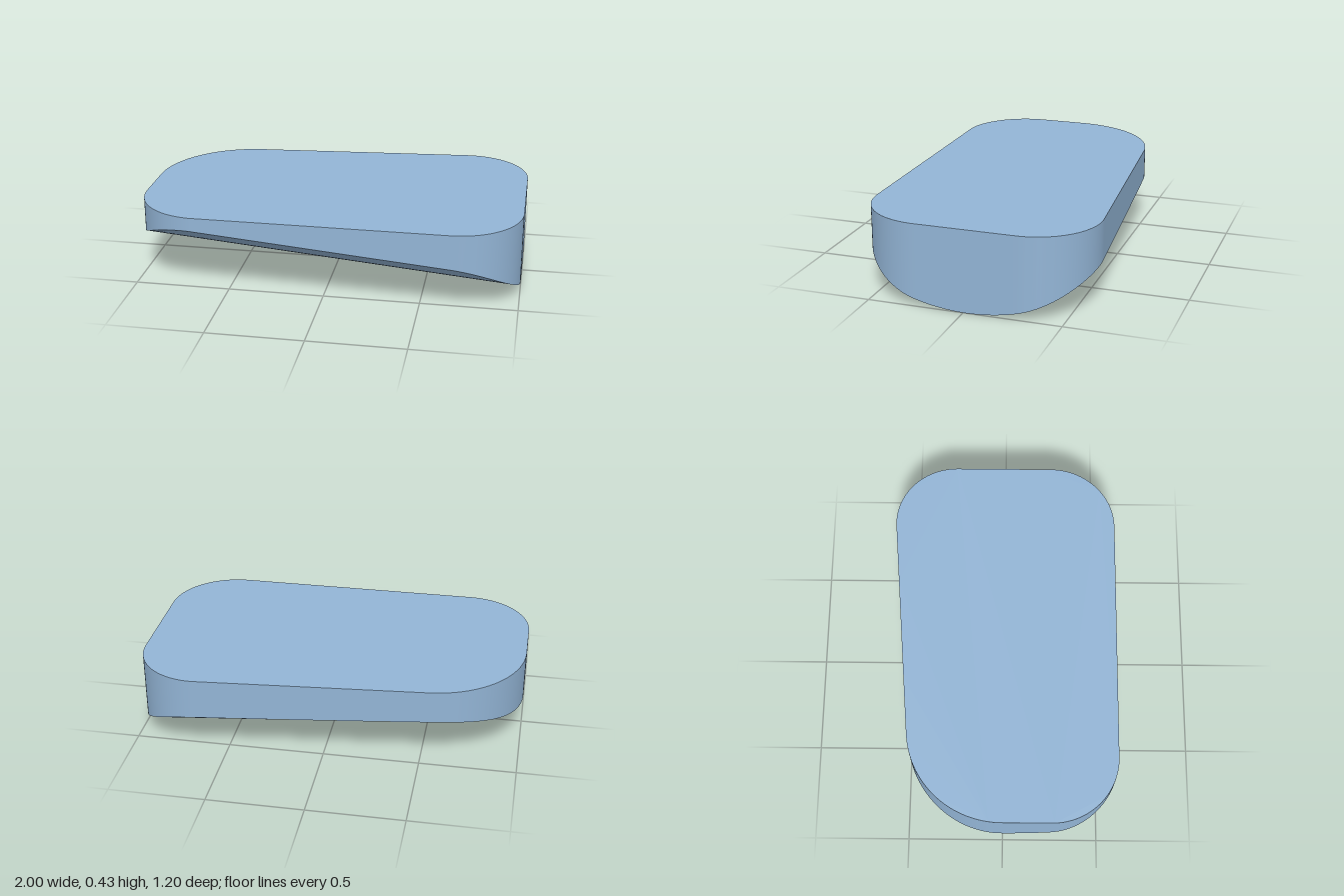
import * as THREE from 'three';

const TOP = 0.427;
const SEGMENTS = 220;
const RINGS = 24;

// Underside: a unit-radius cylinder lying along x, sloping down towards +x
function undersideY(x, z) {
  const dz = z + 0.02;
  return 0.0845 * (1 - x) + 1 - Math.sqrt(1 - dz * dz);
}

// Rounded plan outline, drawn with y = -z
function makeOutline() {
  const lean = Math.PI / 2 + 0.08; // the back edge is slightly slanted
  const s = new THREE.Shape();
  s.moveTo(-0.65, -0.598);
  s.absarc(0.65, -0.248, 0.35, -Math.PI / 2, 0);
  s.absarc(0.67, 0.268, 0.33, 0, lean);
  s.absarc(-0.5, 0.0036, 0.5, lean, Math.PI);
  s.absarc(-0.65, -0.248, 0.35, Math.PI, Math.PI * 1.5);
  return s;
}

// Skin a stack of closed loops of equal length
function skinLoops(loops) {
  const n = loops[0].length;
  const index = [];
  for (let k = 0; k < loops.length - 1; k++) {
    for (let i = 0; i < n; i++) {
      const j = (i + 1) % n;
      const a = k * n + i, b = k * n + j, c = (k + 1) * n + j, d = (k + 1) * n + i;
      index.push(a, b, c, a, c, d);
    }
  }
  const geo = new THREE.BufferGeometry().setFromPoints(loops.flat());
  geo.setIndex(index);
  geo.computeVertexNormals();
  return geo;
}

export function createModel() {
  const group = new THREE.Group();
  group.name = 'roundedWedge';
  const blue = new THREE.MeshStandardMaterial({ color: 0x93b5d6 });
  blue.name = 'softBlue';
  const add = (geo, name) => {
    const mesh = new THREE.Mesh(geo, blue);
    mesh.name = name;
    group.add(mesh);
  };

  const points = makeOutline().getSpacedPoints(SEGMENTS);
  points.pop(); // the last point repeats the first

  // Flat top
  const top = new THREE.ShapeGeometry(new THREE.Shape(points));
  top.rotateX(-Math.PI / 2).translate(0, TOP, 0);
  add(top, 'topFace');

  // Upright side wall, from the curved lower rim to the top
  const onUnderside = (p, t) =>
    new THREE.Vector3(p.x * t, undersideY(p.x * t, -p.y * t), -p.y * t);
  const rim = points.map((p) => onUnderside(p, 1));
  const upper = points.map((p) => new THREE.Vector3(p.x, TOP, -p.y));
  add(skinLoops([rim, upper]), 'sideWall');

  // Curved underside, as concentric loops
  const rings = [];
  for (let k = 0; k <= RINGS; k++) rings.push(points.map((p) => onUnderside(p, k / RINGS)));
  add(skinLoops(rings), 'underside');

  return group;
}
